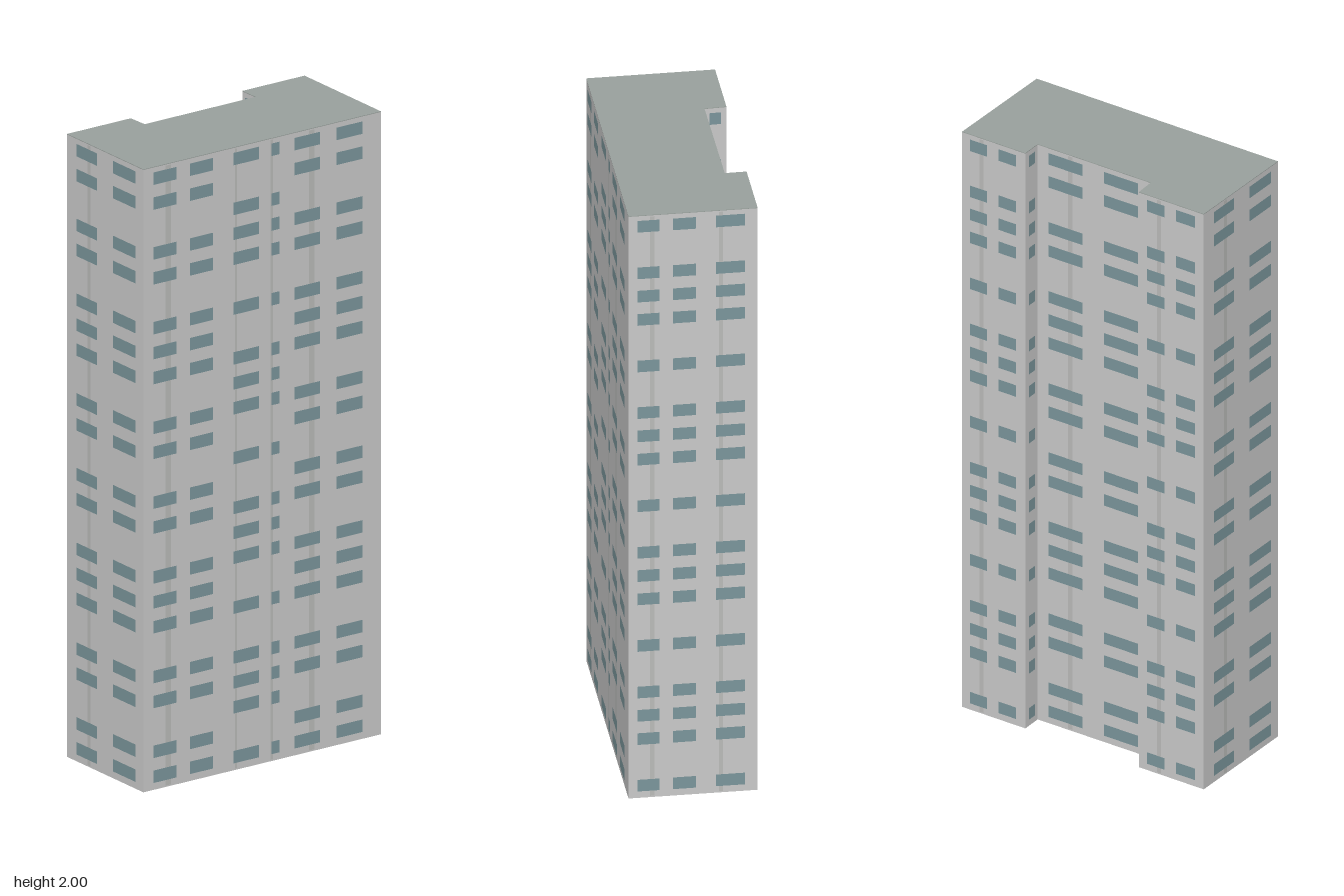
import * as THREE from 'three';
import { mergeGeometries } from 'three/addons/utils/BufferGeometryUtils.js';

const HEIGHT = 2, FLOOR = 0.08, WINDOW_HEIGHT = 0.04, ROOF = 0.002;

// Floors that carry windows, in two alternating rhythms
const ROWS_A = [0, 1, 3, 4, 6, 7, 8, 10, 11, 13, 14, 16, 17, 18, 20, 21, 23, 24];
const ROWS_B = [0, 2, 3, 4, 6, 8, 9, 10, 12, 14, 15, 16, 18, 20, 21, 22, 24];

// Each wall starts at corner (x, z) and runs to the next one.
// Columns are [start, end, rows] and seams [start, end], as fractions of the wall length.
const WALLS = [
  { name: 'front', at: [-0.47, 0.122],
    columns: [[0.04, 0.137, ROWS_A], [0.194, 0.291, ROWS_A], [0.377, 0.485, ROWS_B],
      [0.537, 0.571, ROWS_B], [0.634, 0.742, ROWS_A], [0.811, 0.92, ROWS_A]],
    seams: [[0.092, 0.116], [0.385, 0.394], [0.535, 0.545], [0.697, 0.72]] },
  { name: 'leftSide', at: [0.405, 0.264],
    columns: [[0.07, 0.24, ROWS_B], [0.345, 0.52, ROWS_B], [0.677, 0.9, ROWS_B]],
    seams: [[0.165, 0.2], [0.7, 0.73]] },
  { name: 'leftWingBack', at: [0.469, -0.125],
    columns: [[0.13, 0.4, ROWS_B], [0.58, 0.86, ROWS_B]], seams: [[0.28, 0.34]] },
  { name: 'leftWingReturn', at: [0.24, -0.162], columns: [[0.25, 0.75, ROWS_B]], seams: [] },
  { name: 'recess', at: [0.23, -0.096],
    columns: [[0.1, 0.4, ROWS_A], [0.59, 0.89, ROWS_A]], seams: [[0.27, 0.31]] },
  { name: 'rightWingReturn', at: [-0.18, -0.161], columns: [[0.22, 0.74, ROWS_B]], seams: [] },
  { name: 'rightWingBack', at: [-0.172, -0.228],
    columns: [[0.13, 0.4, ROWS_B], [0.58, 0.87, ROWS_B]], seams: [[0.28, 0.34]] },
  { name: 'rightSide', at: [-0.407, -0.266],
    columns: [[0.13, 0.4, ROWS_A], [0.61, 0.9, ROWS_A]], seams: [[0.27, 0.31]] },
];

const material = (color) => new THREE.MeshStandardMaterial({ color });

// Upright panel on a wall of the given length, in the wall's own frame
function panel(length, start, end, y, height, lift) {
  return new THREE.PlaneGeometry((end - start) * length, height)
    .translate((start + end) / 2 * length, y, lift);
}

// Vertical prism over the footprint
function prism(bottom, height) {
  const shape = new THREE.Shape(WALLS.map(({ at }) => new THREE.Vector2(at[0], -at[1])));
  return new THREE.ExtrudeGeometry(shape, { depth: height, bevelEnabled: false })
    .rotateX(-Math.PI / 2).translate(0, bottom, 0);
}

export function createModel() {
  const model = new THREE.Group();
  model.name = 'apartmentTower';
  const wallMaterial = material(0xcccccc);
  const roofMaterial = material(0x9aa29e);
  const glassMaterial = material(0x7c979d);
  const seamMaterial = material(0xbcbdbb);

  const add = (parent, name, geometry, mat) => {
    const mesh = new THREE.Mesh(geometry, mat);
    mesh.name = name;
    parent.add(mesh);
  };

  // Main block and roof sheet
  add(model, 'towerBody', prism(0, HEIGHT - ROOF), wallMaterial);
  add(model, 'roof', prism(HEIGHT - ROOF, ROOF), roofMaterial);

  // Windows and vertical seams of every wall
  WALLS.forEach(({ name, at, columns, seams }, i) => {
    const next = WALLS[(i + 1) % WALLS.length].at;
    const dx = next[0] - at[0], dz = next[1] - at[1];
    const length = Math.hypot(dx, dz);
    const facade = new THREE.Group();
    facade.name = name + 'Facade';
    facade.position.set(at[0], 0, at[1]);
    facade.rotation.y = Math.atan2(-dz, dx);

    const panes = columns.flatMap(([start, end, rows]) => rows.map((k) =>
      panel(length, start, end, 0.043 + k * FLOOR, WINDOW_HEIGHT, 0.002)));
    add(facade, name + 'Windows', mergeGeometries(panes), glassMaterial);

    if (seams.length) {
      const strips = seams.map(([start, end]) =>
        panel(length, start, end, HEIGHT / 2, HEIGHT - 0.01, 0.001));
      add(facade, name + 'Seams', mergeGeometries(strips), seamMaterial);
    }
    model.add(facade);
  });
  return model;
}
